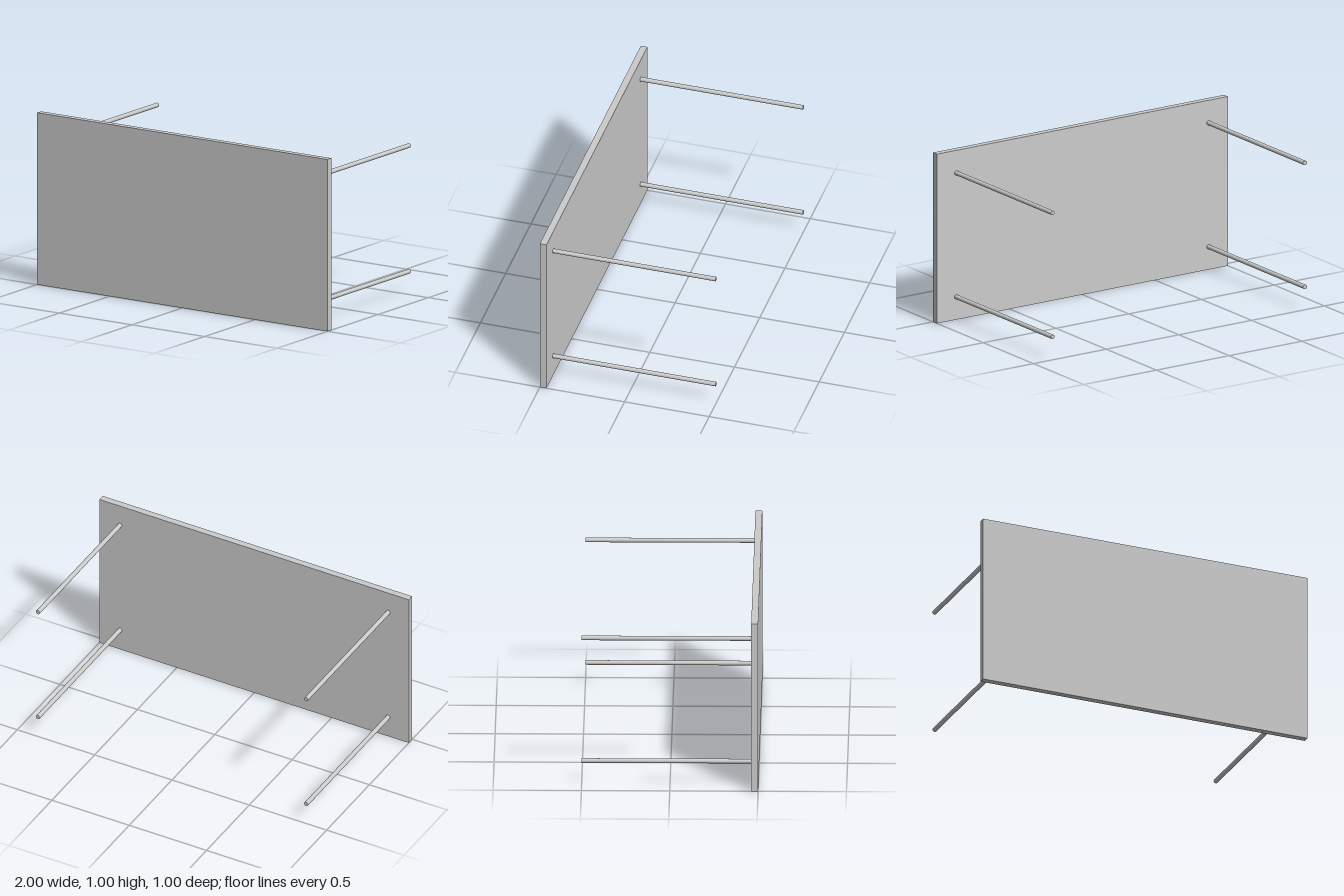
import * as THREE from 'three';

const THICKNESS = 0.039;
const LEG_RADIUS = 0.013;
const LEG_LENGTH = 1 - THICKNESS;

export function createModel() {
  const model = new THREE.Group();
  model.name = 'table';
  const material = new THREE.MeshStandardMaterial({ color: 0xcccccc });

  // Table top, standing on its long edge and facing forward
  const top = new THREE.Mesh(new THREE.BoxGeometry(2, 1, THICKNESS), material);
  top.name = 'tableTop';
  top.position.set(0, 0.5, 0.5 - THICKNESS / 2);
  model.add(top);

  // Four slim round legs reaching back from near the corners
  const legGeometry = new THREE.CylinderGeometry(LEG_RADIUS, LEG_RADIUS, LEG_LENGTH, 32);
  legGeometry.rotateX(Math.PI / 2);
  for (const [side, sx] of [['left', 1], ['right', -1]]) {
    for (const [level, sy] of [['Upper', 1], ['Lower', -1]]) {
      const leg = new THREE.Mesh(legGeometry, material);
      leg.name = `${side}${level}Leg`;
      leg.position.set(sx * 0.867, 0.501 + sy * 0.366, -0.5 + LEG_LENGTH / 2);
      model.add(leg);
    }
  }
  return model;
}
